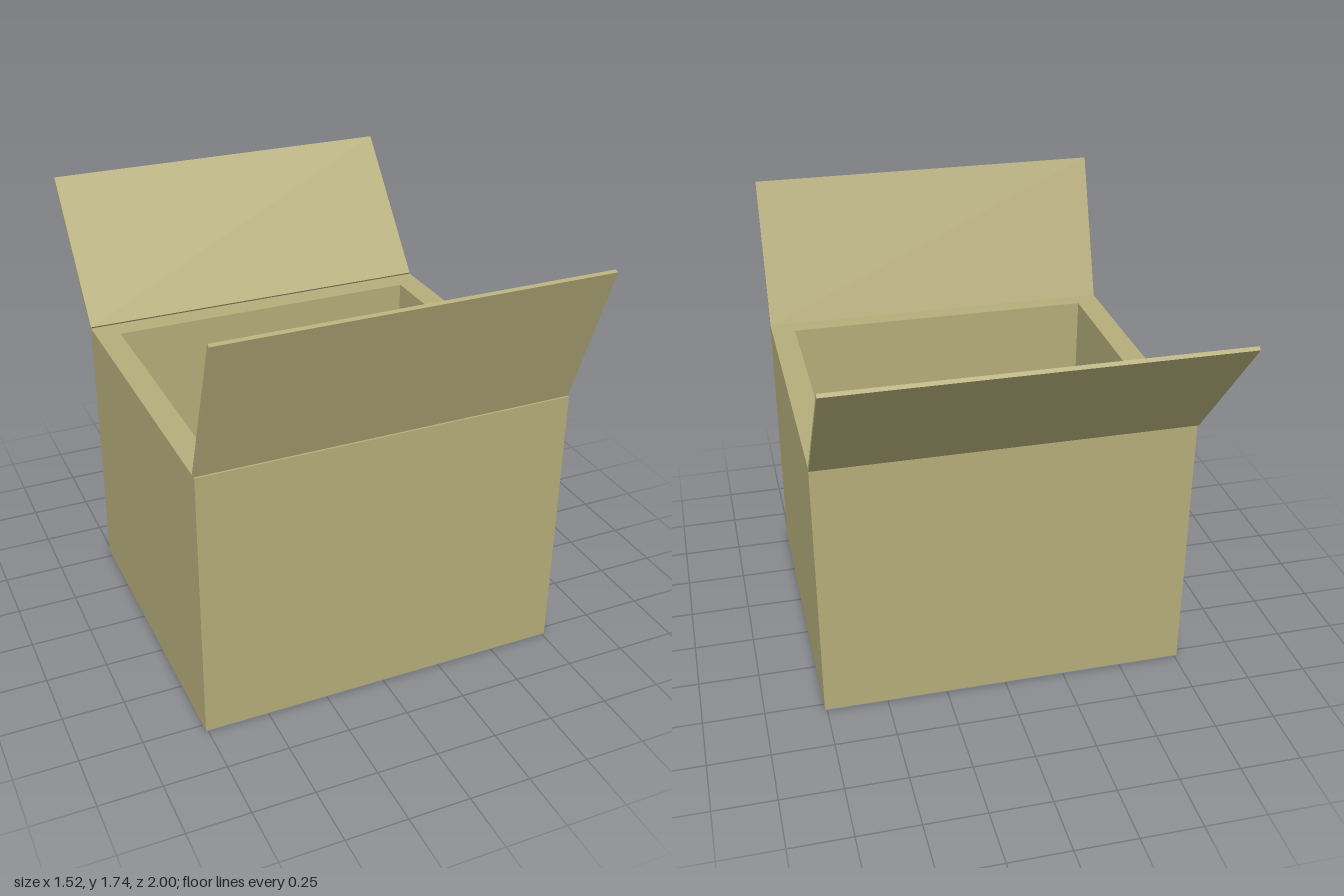
import * as THREE from 'three';

const cardboard = new THREE.MeshStandardMaterial({ color: 0xb5ad7a });
cardboard.name = 'cardboard';
const underside = new THREE.MeshStandardMaterial({ color: 0x848ea3 });
underside.name = 'underside slate';

const HALF_W = 0.76, FRONT = 0.79, BACK = -0.54, TOP = 1.14;
const WALL = 0.1, PLATE = 0.004, FLAP = 0.016;
const MID_Z = (FRONT + BACK) / 2, DEPTH = FRONT - BACK;

function add(group, name, geometry, material) {
  const mesh = new THREE.Mesh(geometry, material);
  mesh.name = name;
  group.add(mesh);
  return mesh;
}

// Rectangle centred on the origin
function rectangle(w, d, PathType) {
  return new PathType([[-1, -1], [1, -1], [1, 1], [-1, 1]]
    .map(([x, y]) => new THREE.Vector2(x * w / 2, y * d / 2)));
}

// Thin panel spanning the box width, between two [z, y] points
function addFlap(group, name, [z0, y0], [z1, y1]) {
  const length = Math.hypot(z1 - z0, y1 - y0);
  const flap = add(group, name, new THREE.BoxGeometry(HALF_W * 2, length, FLAP), cardboard);
  flap.position.set(0, (y0 + y1) / 2, (z0 + z1) / 2);
  flap.rotation.x = Math.atan2(z1 - z0, y1 - y0);
}

export function createModel() {
  const box = new THREE.Group();
  box.name = 'openBox';

  // Thick walls around the cavity
  const outline = rectangle(HALF_W * 2, DEPTH, THREE.Shape);
  outline.holes.push(rectangle((HALF_W - WALL) * 2, DEPTH - WALL * 2, THREE.Path));
  const walls = new THREE.ExtrudeGeometry(outline, { depth: TOP - PLATE, bevelEnabled: false });
  walls.rotateX(-Math.PI / 2);
  add(box, 'walls', walls, cardboard).position.set(0, PLATE, MID_Z);

  // Floor inside the cavity
  const floor = new THREE.BoxGeometry((HALF_W - WALL) * 2, WALL - PLATE, DEPTH - WALL * 2);
  add(box, 'floor', floor, cardboard).position.set(0, (WALL + PLATE) / 2, MID_Z);

  // Painted underside
  const base = new THREE.BoxGeometry(HALF_W * 2, PLATE, DEPTH);
  add(box, 'underside', base, underside).position.set(0, PLATE / 2, MID_Z);

  // Open lid flaps
  addFlap(box, 'frontFlap', [0.773, TOP], [0.992, 1.737]);
  addFlap(box, 'backFlap', [-0.547, TOP], [-0.992, 1.665]);

  return box;
}
